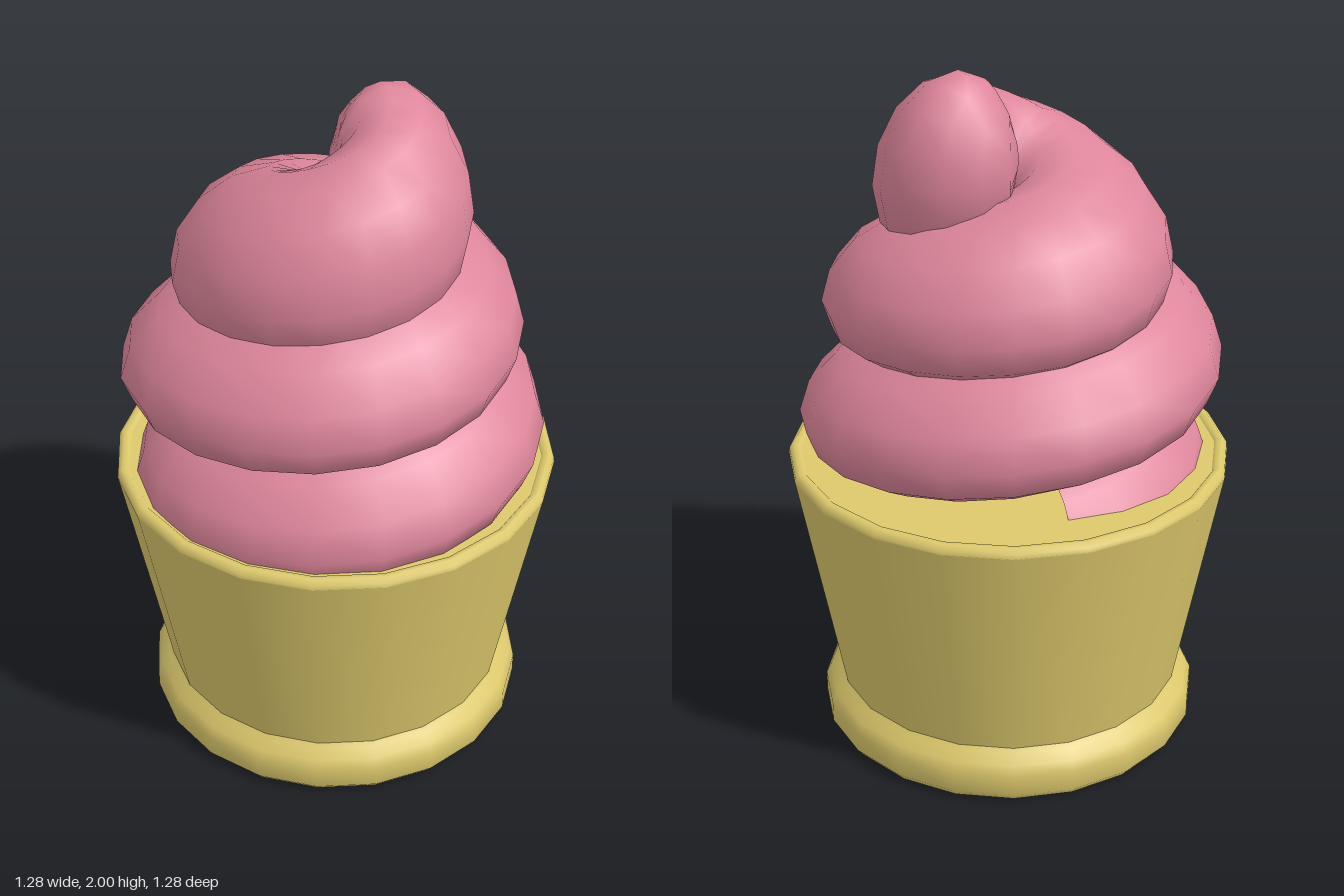
import * as THREE from 'three';

const SIDES = 20;

// Swirl keys: [quarter turn, outer radius, height of widest point, half height, lean]
const KEYS = [
  [0, 0.55, 0.74, 0.18, 0.05],
  [1, 0.59, 0.84, 0.19, 0.06],
  [2, 0.61, 0.92, 0.2, 0.07],
  [3, 0.6, 1.0, 0.2, 0.07],
  [4, 0.605, 1.1, 0.2, 0.07],
  [5, 0.61, 1.19, 0.2, 0.08],
  [6, 0.565, 1.26, 0.2, 0.08],
  [7, 0.517, 1.34, 0.2, 0.07],
  [8, 0.486, 1.4, 0.21, 0.08],
  [9, 0.452, 1.48, 0.22, 0.08],
  [10, 0.408, 1.58, 0.24, 0.07],
  [11, 0.366, 1.685, 0.262, 0.05],
  [11.2, 0.355, 1.71, 0.245, 0.04],
  [11.4, 0.31, 1.73, 0.21, 0.03],
  [11.6, 0.25, 1.745, 0.165, 0.02],
  [11.8, 0.175, 1.755, 0.12, 0.01],
  [12, 0.08, 1.76, 0.06, 0],
  [12.2, 0.015, 1.76, 0.01, 0],
];

function keyAt(t) {
  let i = 0;
  while (i < KEYS.length - 2 && KEYS[i + 1][0] <= t) i++;
  const a = KEYS[i], b = KEYS[i + 1];
  const f = (t - a[0]) / (b[0] - a[0]);
  return a.map((v, k) => v + (b[k] - v) * f);
}

// Leaning oval sections wound around the axis, each reaching in to the centre
function swirlGeometry() {
  const ring = 14, steps = 61;
  const pos = [], index = [];
  for (let i = 0; i <= steps; i++) {
    const [t, outer, wideY, half, lean] = keyAt(i / 5);
    const angle = -Math.PI / 2 * (1 + t);
    for (let j = 0; j < ring; j++) {
      const u = (j / ring) * Math.PI * 2;
      const r = outer / 2 * (1 + Math.cos(u));
      const y = wideY + lean * (1 - Math.cos(u)) + half * Math.sin(u);
      pos.push(r * Math.cos(angle), y, r * Math.sin(angle));
      if (i === steps) continue;
      const k = (j + 1) % ring;
      const a = i * ring + j, b = a + ring, c = i * ring + k, d = c + ring;
      index.push(a, b, c, c, b, d);
    }
  }
  const geo = new THREE.BufferGeometry();
  geo.setAttribute('position', new THREE.Float32BufferAttribute(pos, 3));
  geo.setIndex(index);
  geo.computeVertexNormals();
  return geo;
}

const lathe = (points) =>
  new THREE.LatheGeometry(points.map(([r, y]) => new THREE.Vector2(r, y)), SIDES);

export function createModel() {
  const group = new THREE.Group();
  const wafer = new THREE.MeshStandardMaterial({ color: 0xdcc86c });
  wafer.name = 'wafer yellow';
  const cream = new THREE.MeshStandardMaterial({ color: 0xde869b });
  cream.name = 'cream pink';

  const add = (name, geo, mat) => {
    const mesh = new THREE.Mesh(geo, mat);
    mesh.name = name;
    group.add(mesh);
    return mesh;
  };

  // Rounded foot
  add('foot', lathe([[0.54, 0], [0.56, 0.025], [0.56, 0.085], [0.545, 0.115], [0.52, 0.14], [0.505, 0.16]]), wafer);
  const underside = add('underside', new THREE.CircleGeometry(0.54, SIDES), wafer);
  underside.rotation.x = Math.PI / 2;

  // Flared wall and lip
  add('cupWall', lathe([[0.508, 0.14], [0.64, 0.85]]), wafer);
  add('cupLip', lathe([[0.64, 0.848], [0.638, 0.862], [0.625, 0.874], [0.608, 0.872], [0.6, 0.862]]), wafer);

  // Floor just under the lip
  const cupTop = add('cupTop', new THREE.CircleGeometry(0.61, SIDES), wafer);
  cupTop.rotation.x = -Math.PI / 2;
  cupTop.position.y = 0.864;

  // Soft swirl
  add('creamSwirl', swirlGeometry(), cream);
  return group;
}
